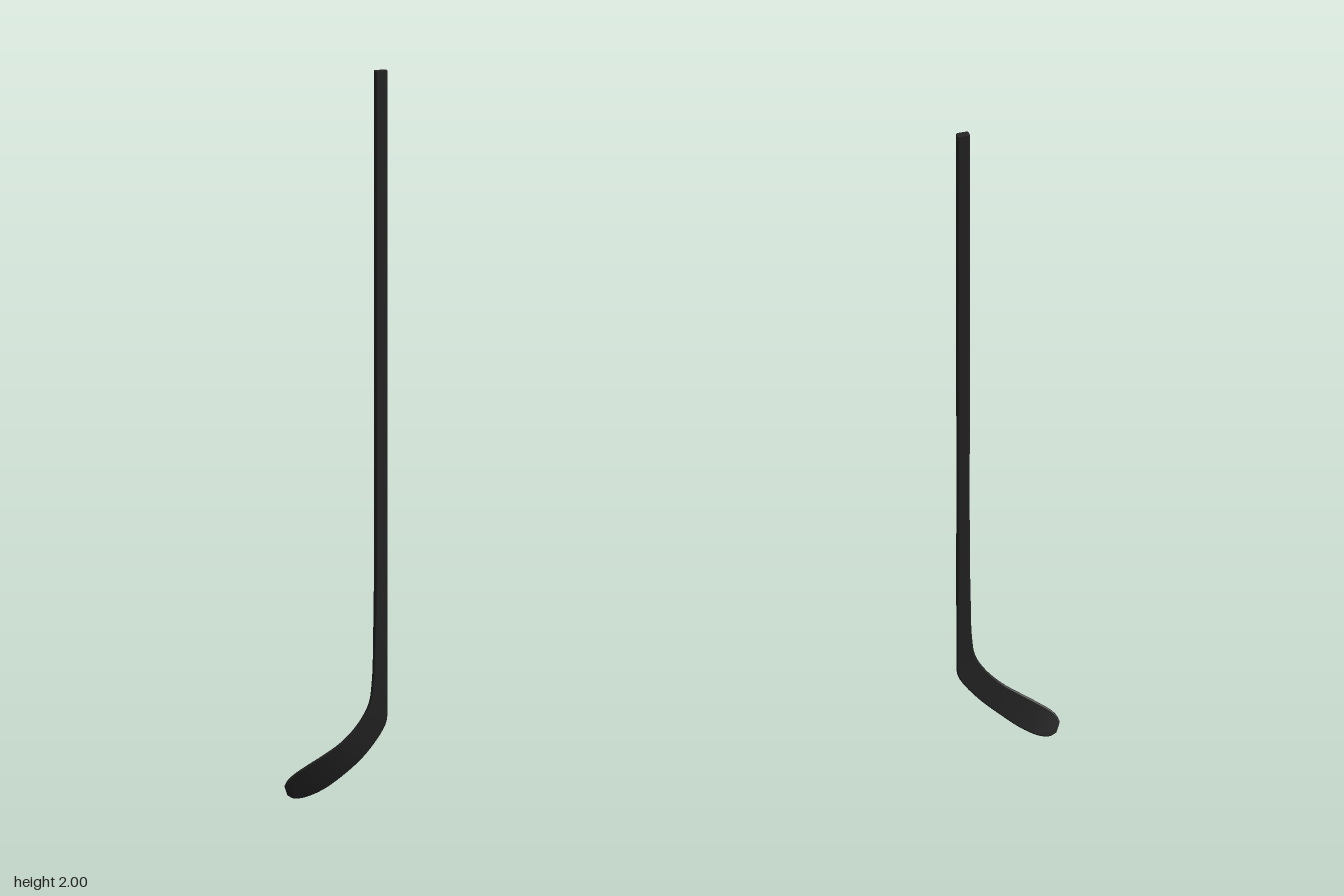
import * as THREE from 'three';

// Sections from butt to toe: inner edge xyz, outer edge xyz, thickness
const SECTIONS = [
  [0.1, 2, 0.028, 0.135, 2, 0.028, 0.021],
  [0.1, 1.3, 0.028, 0.135, 1.3, 0.028, 0.021],
  [0.1, 0.62, 0.028, 0.135, 0.62, 0.028, 0.021],
  [0.097, 0.45, 0.029, 0.135, 0.42, 0.029, 0.018],
  [0.093, 0.33, 0.029, 0.135, 0.28, 0.029, 0.014],
  [0.083, 0.265, 0.029, 0.134, 0.215, 0.028, 0.011],
  [0.055, 0.213, 0.027, 0.122, 0.186, 0.026, 0.01],
  [0.01, 0.163, 0.021, 0.075, 0.123, 0.022, 0.009],
  [-0.04, 0.126, 0.01, 0.02, 0.07, 0.009, 0.009],
  [-0.085, 0.096, -0.003, -0.035, 0.027, -0.012, 0.009],
  [-0.115, 0.074, -0.012, -0.08, 0.006, -0.03, 0.009],
  [-0.131, 0.056, -0.02, -0.108, 0.004, -0.036, 0.009],
  [-0.137, 0.04, -0.028, -0.125, 0.013, -0.037, 0.007],
];
const LAST = SECTIONS.length - 1;
const edge = (o) => new THREE.CatmullRomCurve3(
  SECTIONS.map((s) => new THREE.Vector3(s[o], s[o + 1], s[o + 2])), false, 'centripetal');
const inner = edge(0);
const outer = edge(3);
const middle = (t) => inner.getPoint(t).add(outer.getPoint(t)).multiplyScalar(0.5);

// Rounded rectangle ring spanning the two edges at t
function ring(t) {
  const a = inner.getPoint(t), b = outer.getPoint(t);
  const u = b.clone().sub(a), width = u.length();
  u.normalize();
  const tangent = middle(Math.min(1, t + 0.002)).sub(middle(Math.max(0, t - 0.002)));
  const n = tangent.cross(u).normalize();
  const i = Math.min(LAST - 1, Math.floor(t * LAST));
  const thick = THREE.MathUtils.lerp(SECTIONS[i][6], SECTIONS[i + 1][6], t * LAST - i);
  const r = Math.min(0.0055, thick * 0.48), c = middle(t), points = [];
  for (let k = 0; k < 4; k++) {
    const su = k === 0 || k === 3 ? 1 : -1, sn = k < 2 ? 1 : -1;
    for (let j = 0; j < 5; j++) {
      const ang = (k + j / 4) * Math.PI / 2;
      points.push(c.clone()
        .addScaledVector(u, su * (width / 2 - r) + r * Math.cos(ang))
        .addScaledVector(n, sn * (thick / 2 - r) + r * Math.sin(ang)));
    }
  }
  return points;
}

// Skin between two sections, closed at the free end
function loft(from, to, capStart) {
  const pos = [], idx = [], steps = (to - from) * 6, N = 20;
  const add = (p) => pos.push(p.x, p.y, p.z);
  for (let i = 0; i <= steps; i++) ring((from + i / 6) / LAST).forEach(add);
  for (let i = 0; i < steps; i++) {
    for (let j = 0; j < N; j++) {
      const a = i * N + j, b = i * N + (j + 1) % N;
      idx.push(a, b, a + N, b, b + N, a + N);
    }
  }
  const t = (capStart ? from : to) / LAST, base = pos.length / 3;
  ring(t).forEach(add);
  add(middle(t));
  for (let j = 0; j < N; j++) {
    const a = base + j, b = base + (j + 1) % N;
    if (capStart) idx.push(base + N, b, a);
    else idx.push(base + N, a, b);
  }
  const g = new THREE.BufferGeometry();
  g.setAttribute('position', new THREE.Float32BufferAttribute(pos, 3));
  g.setIndex(idx);
  g.computeVertexNormals();
  return g;
}

export function createModel() {
  const group = new THREE.Group();
  group.name = 'hockeyStick';
  const black = new THREE.MeshStandardMaterial({ color: 0x242424 });
  black.name = 'matte black';

  const shaft = new THREE.Mesh(loft(0, 4, true), black);
  shaft.name = 'shaft';
  const blade = new THREE.Mesh(loft(4, LAST, false), black);
  blade.name = 'blade';
  group.add(shaft, blade);
  return group;
}
